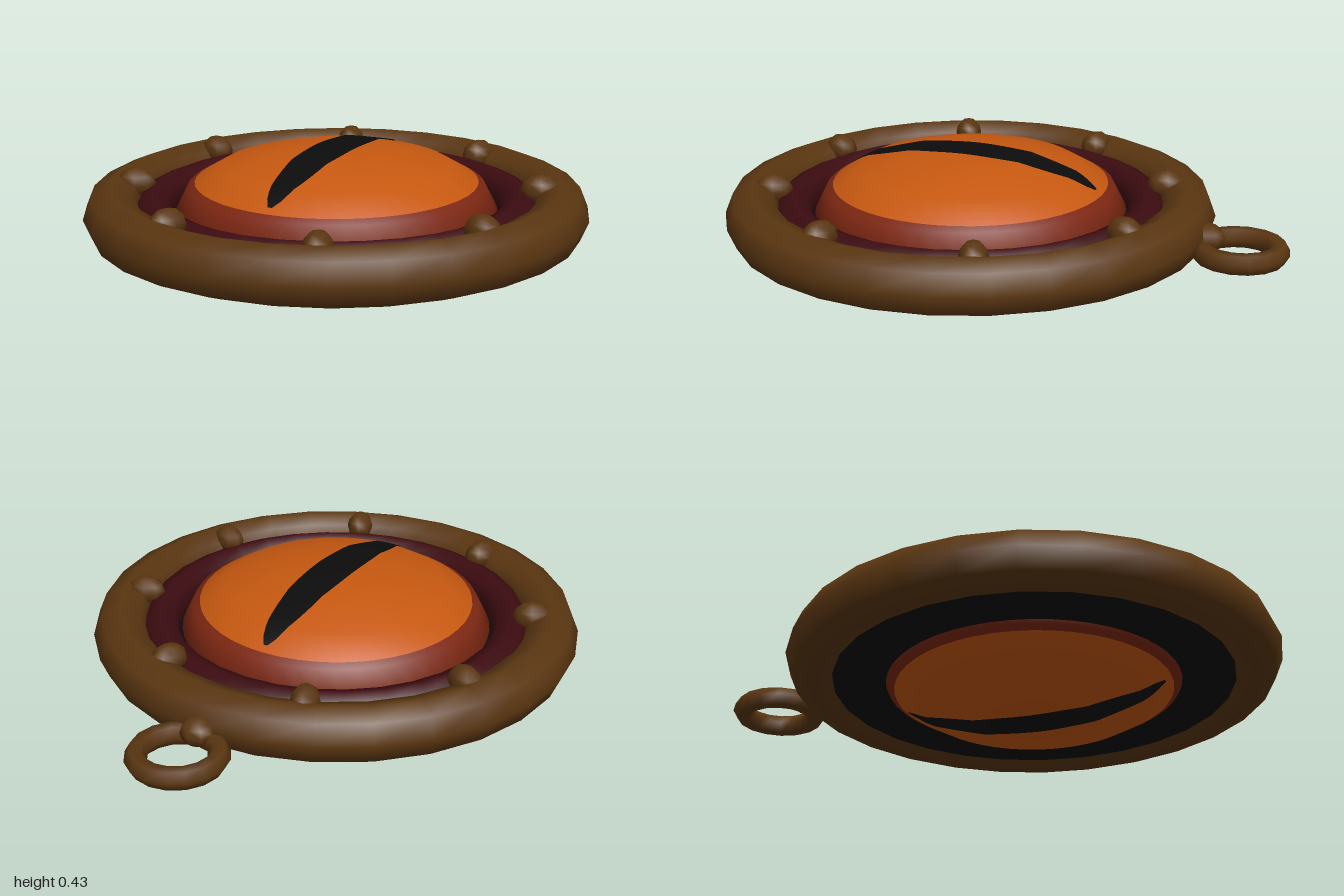
import * as THREE from 'three';

const CY = 0.213, CZ = 0.137;      // centre of the medallion
const EYE_R = 0.55, EYE_H = 0.213; // flattened eyeball radii
const IRIS_R = 0.485;

const mat = (name, color, side = THREE.FrontSide) => {
  const m = new THREE.MeshStandardMaterial({ color, side });
  m.name = name;
  return m;
};

// eyeball profile from pole to equator: [radius, height]
const profile = [0, 1, 2, 3, 4].map(i => {
  const a = i * Math.PI / 8;
  return new THREE.Vector2(EYE_R * Math.sin(a), EYE_H * Math.cos(a));
});
function eyeHeight(r) {
  for (let i = 1; i < profile.length; i++) {
    const p = profile[i - 1], q = profile[i];
    if (r <= q.x) return p.y + (q.y - p.y) * (r - p.x) / (q.x - p.x);
  }
  return 0;
}

// smooth ellipsoid normals so that separate eye pieces shade as one
function eyeNormals(g) {
  const p = g.attributes.position, n = [], v = new THREE.Vector3();
  for (let i = 0; i < p.count; i++) {
    v.set(p.getX(i) / EYE_R ** 2, p.getY(i) / EYE_H ** 2, p.getZ(i) / EYE_R ** 2).normalize();
    n.push(v.x, v.y, v.z);
  }
  g.setAttribute('normal', new THREE.Float32BufferAttribute(n, 3));
  return g;
}

// pupil strip that follows the eye surface
function slitGeometry(halfWidth, halfLength) {
  const g = new THREE.PlaneGeometry(2, 2, 4, 32);
  g.rotateX(-Math.PI / 2);
  const p = g.attributes.position;
  for (let i = 0; i < p.count; i++) {
    const t = p.getZ(i);
    const x = p.getX(i) * halfWidth * Math.sqrt(Math.max(0.01, 1 - t * t));
    const z = t * halfLength;
    p.setXYZ(i, x, eyeHeight(Math.hypot(x, z)) + 0.004, z);
  }
  return eyeNormals(g);
}

export function createModel() {
  const model = new THREE.Group();
  const bronze = mat('bronze', 0x5a3611);
  const darkRed = mat('dark red', 0x3c0c11);
  const orange = mat('orange', 0xc65810);
  const rust = mat('rust red', 0x7c2712);
  const black = mat('black', 0x0c0c0c, THREE.DoubleSide);

  const add = (name, geo, material, x, y, z, parent = model) => {
    const m = new THREE.Mesh(geo, material);
    m.name = name;
    m.position.set(x, y, z);
    parent.add(m);
    return m;
  };
  const flatTorus = (R, r, sides, segs) =>
    new THREE.TorusGeometry(R, r, sides, segs).rotateX(Math.PI / 2);

  // frame and inner rim
  add('outerRing', flatTorus(0.765, 0.097, 8, 28), bronze, 0, CY, CZ);
  add('innerRing', flatTorus(0.625, 0.066, 8, 32), darkRed, 0, CY, CZ);
  add('backPlate', new THREE.RingGeometry(0.5, 0.71, 48).rotateX(Math.PI / 2), black, 0, 0.143, CZ);

  // eye: rust band with an iris and slit pupil on both faces
  const eye = new THREE.Group();
  eye.name = 'eye';
  eye.position.set(0, CY, CZ);
  model.add(eye);
  const edge = new THREE.Vector2(IRIS_R, eyeHeight(IRIS_R));
  const capPoints = [edge, profile[2], profile[1], new THREE.Vector2(0, EYE_H)];
  const upperBand = [profile[4], profile[3], edge];
  const lowerBand = [edge, profile[3]].map(p => new THREE.Vector2(p.x, -p.y));
  const band = [...lowerBand, ...upperBand];
  add('eyeBand', eyeNormals(new THREE.LatheGeometry(band, 48)), rust, 0, 0, 0, eye);
  for (const [side, turn] of [['top', 0], ['bottom', Math.PI]]) {
    const face = new THREE.Group();
    face.name = side + 'EyeFace';
    face.rotation.x = turn;
    eye.add(face);
    add(side + 'Iris', eyeNormals(new THREE.LatheGeometry(capPoints, 48)), orange, 0, 0, 0, face);
    add(side + 'Pupil', slitGeometry(0.073, 0.463), black, 0, 0, 0, face);
  }

  // eight studs gripping the rim
  const studGeo = new THREE.SphereGeometry(1, 8, 6).scale(0.05, 0.055, 0.068);
  for (let i = 0; i < 8; i++) {
    const a = (i + 0.5) * Math.PI / 4;
    const s = add('stud', studGeo, bronze, 0.695 * Math.sin(a), 0.281, CZ + 0.695 * Math.cos(a));
    s.rotation.y = a;
  }

  // hanging loop and its joint
  add('hangingLoop', flatTorus(0.132, 0.037, 6, 16), bronze, 0, 0.17, -0.831);
  add('loopJoint', new THREE.SphereGeometry(1, 8, 6).scale(0.06, 0.05, 0.06), bronze, 0, 0.2, -0.72);

  return model;
}
